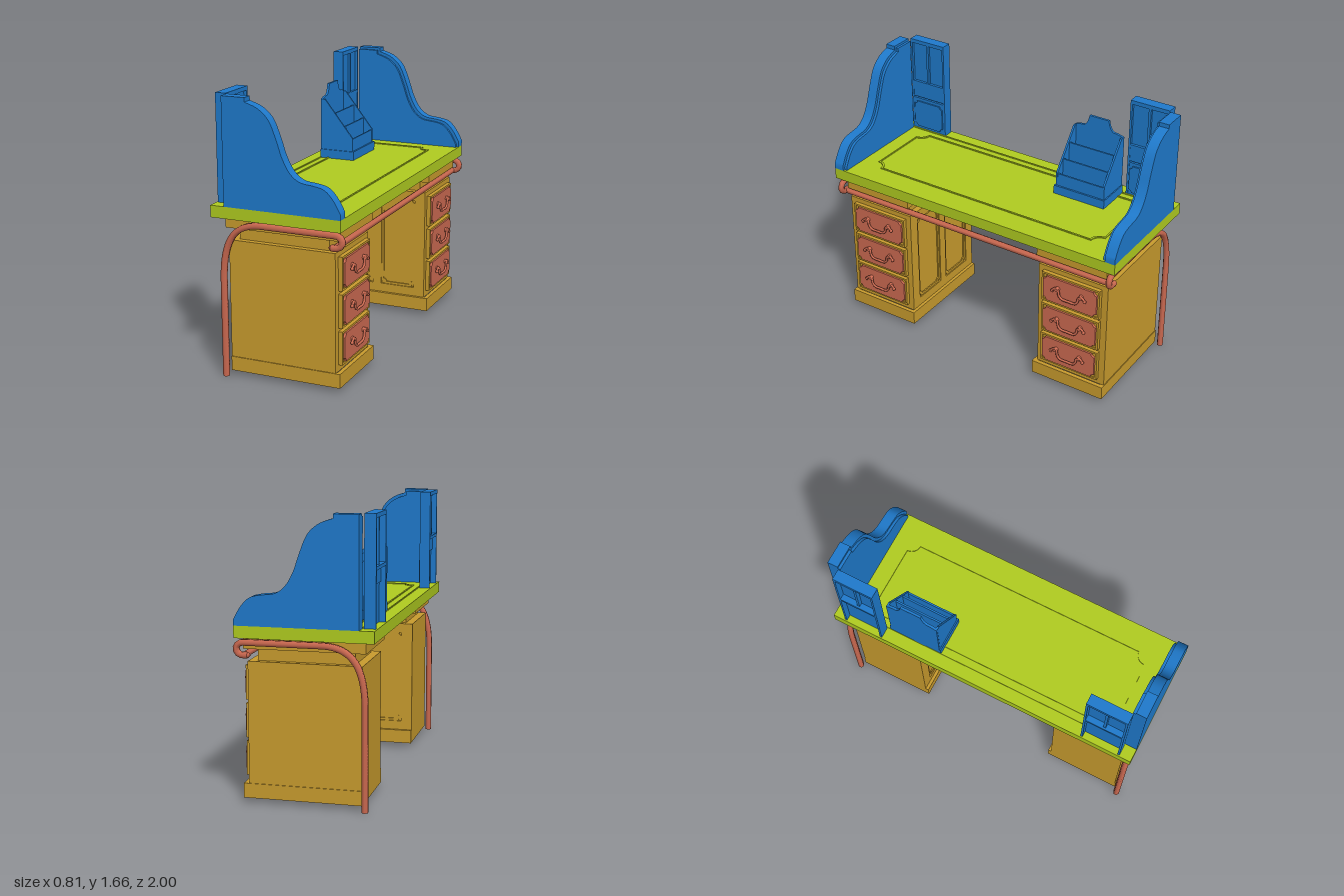
import * as THREE from 'three';
import { toCreasedNormals } from 'three/addons/utils/BufferGeometryUtils.js';

const material = (color) => new THREE.MeshStandardMaterial({ color });
const GOLD = material(0xc99c2e), GREEN = material(0xb0cc20), BLUE = material(0x1f7acc), COPPER = material(0xcd6a51);

function add(parent, name, geometry, mat) {
  const mesh = new THREE.Mesh(geometry, mat);
  mesh.name = name;
  parent.add(mesh);
  return mesh;
}

// Box from its limits on each axis
function box(parent, name, mat, [x0, x1], [y0, y1], [z0, z1]) {
  const g = new THREE.BoxGeometry(x1 - x0, y1 - y0, Math.abs(z1 - z0));
  g.translate((x0 + x1) / 2, (y0 + y1) / 2, (z0 + z1) / 2);
  return add(parent, name, g, mat);
}

const extrude = (shape, depth) =>
  toCreasedNormals(new THREE.ExtrudeGeometry(shape, { depth, bevelEnabled: false, curveSegments: 8 }), 0.5);

// Upright plate facing z, between two z limits
function plateZ(parent, name, mat, shape, za, zb) {
  const g = extrude(shape, Math.abs(zb - za));
  return add(parent, name, g.translate(0, 0, Math.min(za, zb)), mat);
}

// Upright plate facing +x, its shape centred on (y, z)
function plateX(parent, name, mat, shape, x0, x1, y, z) {
  const g = extrude(shape, x1 - x0).rotateY(Math.PI / 2);
  return add(parent, name, g.translate(x0, y, z), mat);
}

function polygon(points) {
  return new THREE.Shape(points.map(([x, y]) => new THREE.Vector2(x, y)));
}

function rect(w, h, cx = 0, cy = 0) {
  return polygon([[cx - w / 2, cy - h / 2], [cx + w / 2, cy - h / 2], [cx + w / 2, cy + h / 2], [cx - w / 2, cy + h / 2]]);
}

function frame(w, h, border) {
  const s = rect(w, h);
  s.holes.push(rect(w - 2 * border, h - 2 * border));
  return s;
}

// Rectangle with quarter-round bites out of its corners
function notched(w, h, r) {
  const a = w / 2, b = h / 2, q = Math.PI / 2;
  const s = new THREE.Shape();
  s.moveTo(-a + r, -b);
  s.absarc(a, -b, r, 2 * q, q, true);
  s.absarc(a, b, r, -q, -2 * q, true);
  s.absarc(-a, b, r, 0, -q, true);
  s.absarc(-a, -b, r, q, 0, true);
  return s;
}

function drawer(parent, y, z) {
  const g = new THREE.Group();
  g.name = 'drawer';
  parent.add(g);
  plateX(g, 'drawerFrame', GOLD, frame(0.39, 0.2, 0.012), 0.33, 0.355, y, z);
  plateX(g, 'drawerFront', GOLD, rect(0.37, 0.18), 0.33, 0.348, y, z);
  plateX(g, 'drawerPanel', COPPER, notched(0.36, 0.17, 0.022), 0.34, 0.363, y, z);
  // Swan-neck bail handle on two posts
  const path = [[0.11, 0.012], [0.09, 0.03], [0.07, 0.022], [0.062, -0.01], [0.045, -0.028], [0, -0.03]];
  const full = [...path, ...path.slice(0, -1).reverse().map(([u, v]) => [-u, v])];
  const curve = new THREE.CatmullRomCurve3(full.map(([u, v]) => new THREE.Vector3(0.378, y + v, z + u)));
  add(g, 'handle', new THREE.TubeGeometry(curve, 36, 0.008, 6), COPPER);
  for (const s of [1, -1]) {
    const post = new THREE.CylinderGeometry(0.011, 0.016, 0.024, 8).rotateZ(-Math.PI / 2);
    add(g, 'handlePost', post.translate(0.373, y + 0.024, z + s * 0.08), COPPER);
    add(g, 'handleTip', new THREE.SphereGeometry(0.011, 8, 6).translate(0.378, y + 0.01, z + s * 0.11), COPPER);
  }
}

function pedestal(parent, s) {
  const g = new THREE.Group();
  g.name = 'pedestal';
  parent.add(g);
  box(g, 'cabinetBody', GOLD, [-0.33, 0.33], [0.11, 0.82], [s * 0.485, s * 0.935]);
  box(g, 'neck', GOLD, [-0.28, 0.28], [0.82, 0.89], [s * 0.51, s * 0.9]);
  box(g, 'cornice', GOLD, [-0.35, 0.355], [0.89, 0.96], [s * 0.468, s * 0.935]);
  // Hollow plinth
  const plinth = rect(0.69, 0.49, 0.015, -s * 0.695);
  plinth.holes.push(rect(0.64, 0.44, 0.015, -s * 0.695));
  add(g, 'plinth', extrude(plinth, 0.085).rotateX(-Math.PI / 2).translate(0, 0.028, 0), GOLD);
  // Knee-side face with two sunken panels
  const face = rect(0.66, 0.71, 0, 0.465);
  for (const x of [-0.145, 0.145]) {
    face.holes.push(rect(0.23, 0.59, x, 0.465));
    const rim = notched(0.23, 0.59, 0.02);
    rim.holes.push(notched(0.2, 0.56, 0.02));
    const m = plateZ(g, 'panelMoulding', GOLD, rim, s * 0.477, s * 0.486);
    m.position.set(x, 0.465, 0);
  }
  plateZ(g, 'kneeSideFrame', GOLD, face, s * 0.47, s * 0.485);
  for (const y of [0.25, 0.47, 0.69]) drawer(g, y, s * 0.7);
}

// Bent leg rail that rises at the back and hooks over at the front
function legRail(parent, s) {
  const V = (x, y) => new THREE.Vector3(x, y, s * 0.965);
  const path = new THREE.CurvePath();
  path.add(new THREE.LineCurve3(V(-0.352, 0), V(-0.352, 0.58)));
  path.add(new THREE.CubicBezierCurve3(V(-0.352, 0.58), V(-0.352, 0.84), V(-0.27, 0.932), V(-0.1, 0.932)));
  path.add(new THREE.LineCurve3(V(-0.1, 0.932), V(0.345, 0.932)));
  path.add(new THREE.CubicBezierCurve3(V(0.345, 0.932), V(0.4, 0.932), V(0.4, 0.86), V(0.345, 0.86)));
  path.add(new THREE.LineCurve3(V(0.345, 0.86), V(0.32, 0.86)));
  add(parent, 'legRail', new THREE.TubeGeometry(path, 90, 0.02, 6), COPPER);
  const tip = new THREE.ConeGeometry(0.02, 0.02, 6).rotateZ(Math.PI / 2);
  add(parent, 'railTip', tip.translate(0.31, 0.86, s * 0.965), COPPER);
  add(parent, 'railFoot', new THREE.CylinderGeometry(0.02, 0.02, 0.004, 6).translate(-0.352, 0.002, s * 0.965), COPPER);
}

// Curved end board, with a slightly smaller inner layer
function endBoard(parent, s) {
  const outline = (inset) => {
    const shape = new THREE.Shape();
    shape.moveTo(0.39 - inset, 1.03);
    shape.lineTo(0.39 - inset, 1.065 - inset);
    shape.splineThru([[0.35, 1.135], [0.3, 1.187], [0.24, 1.205], [0.15, 1.218], [0.09, 1.262], [0.045, 1.34], [0.01, 1.44],
      [-0.035, 1.545], [-0.1, 1.605], [-0.18, 1.635]].map(([x, y]) => new THREE.Vector2(x - inset, y - inset)));
    shape.lineTo(-0.18 - inset, 1.66 - inset);
    shape.lineTo(-0.325, 1.66 - inset);
    shape.lineTo(-0.325, 1.03);
    return new THREE.ExtrudeGeometry(shape, { depth: 1, bevelEnabled: false, curveSegments: 4 });
  };
  const layer = (name, inset, za, zb) => {
    const g = outline(inset).scale(1, 1, Math.abs(zb - za)).translate(0, 0, Math.min(za, zb));
    add(parent, name, toCreasedNormals(g, 0.5), BLUE);
  };
  layer('endBoard', 0, s * 0.935, s);
  layer('endBoardInnerLayer', 0.015, s * 0.918, s * 0.935);
}

// Narrow framed tower at the back corner
function tower(parent, s) {
  const g = new THREE.Group();
  g.name = 'backTower';
  parent.add(g);
  const X = [-0.402, -0.335], z = s * 0.797;
  for (const e of [0.67, 0.912]) box(g, 'towerSide', BLUE, X, [1.03, 1.66], [s * e, s * (e + 0.013)]);
  box(g, 'towerTop', BLUE, X, [1.635, 1.66], [s * 0.67, s * 0.925]);
  box(g, 'towerPanel', BLUE, [-0.365, -0.352], [1.03, 1.64], [s * 0.68, s * 0.915]);
  box(g, 'towerDivider', BLUE, [-0.39, -0.337], [1.36, 1.64], [z - 0.008, z + 0.008]);
  box(g, 'towerShelf', BLUE, X, [1.35, 1.37], [s * 0.68, s * 0.915]);
  box(g, 'towerRail', BLUE, [-0.375, -0.337], [1.26, 1.35], [s * 0.68, s * 0.915]);
  box(g, 'towerDoor', BLUE, [-0.352, -0.337], [1.03, 1.25], [s * 0.683, s * 0.912]);
  plateX(g, 'towerDoorPanel', BLUE, notched(0.215, 0.18, 0.02), -0.337, -0.328, 1.14, z);
}

// Letter rack with stepped slots and a shaped back
function letterRack(parent) {
  const g = new THREE.Group();
  g.name = 'letterRack';
  parent.add(g);
  const Z = [-0.635, -0.315];
  box(g, 'rackBase', BLUE, [-0.33, -0.1], [1.03, 1.085], [-0.65, -0.302]);
  const side = polygon([[-0.32, 1.08], [-0.11, 1.08], [-0.11, 1.17], [-0.3, 1.41], [-0.32, 1.41]]);
  for (const z of [-0.643, -0.322]) plateZ(g, 'rackSide', BLUE, side, z, z + 0.012);
  for (const [x, top] of [[-0.122, 1.165], [-0.18, 1.24], [-0.25, 1.32]]) {
    box(g, 'rackDivider', BLUE, [x, x + 0.011], [1.08, top], Z);
  }
  const back = new THREE.Shape();
  back.moveTo(-0.166, 0);
  back.lineTo(0.166, 0);
  back.lineTo(0.166, 0.33);
  back.quadraticCurveTo(0.13, 0.345, 0.1, 0.345);
  back.quadraticCurveTo(0.075, 0.36, 0.066, 0.415);
  back.lineTo(-0.066, 0.415);
  back.quadraticCurveTo(-0.075, 0.36, -0.1, 0.345);
  back.quadraticCurveTo(-0.13, 0.345, -0.166, 0.33);
  plateX(g, 'rackBack', BLUE, back, -0.33, -0.315, 1.08, -0.477);
}

export function createModel() {
  const model = new THREE.Group();
  model.name = 'desk';
  // Top with a thin notched border line and a bead along the back
  box(model, 'deskTop', GREEN, [-0.41, 0.39], [0.96, 1.03], [-1, 1]);
  const border = notched(0.52, 1.64, 0.06);
  border.holes.push(notched(0.5, 1.62, 0.06));
  add(model, 'deskTopBorder', extrude(border, 0.007).rotateX(-Math.PI / 2).translate(-0.02, 1.029, 0), GREEN);
  box(model, 'backBead', GREEN, [-0.331, -0.323], [1.029, 1.036], [-0.92, 0.92]);
  for (const s of [1, -1]) {
    pedestal(model, s);
    legRail(model, s);
    endBoard(model, s);
    tower(model, s);
  }
  const rail = new THREE.CylinderGeometry(0.02, 0.02, 1.93, 6).rotateX(Math.PI / 2);
  add(model, 'crossRail', rail.translate(0.34, 0.86, 0), COPPER);
  letterRack(model);
  return model;
}
